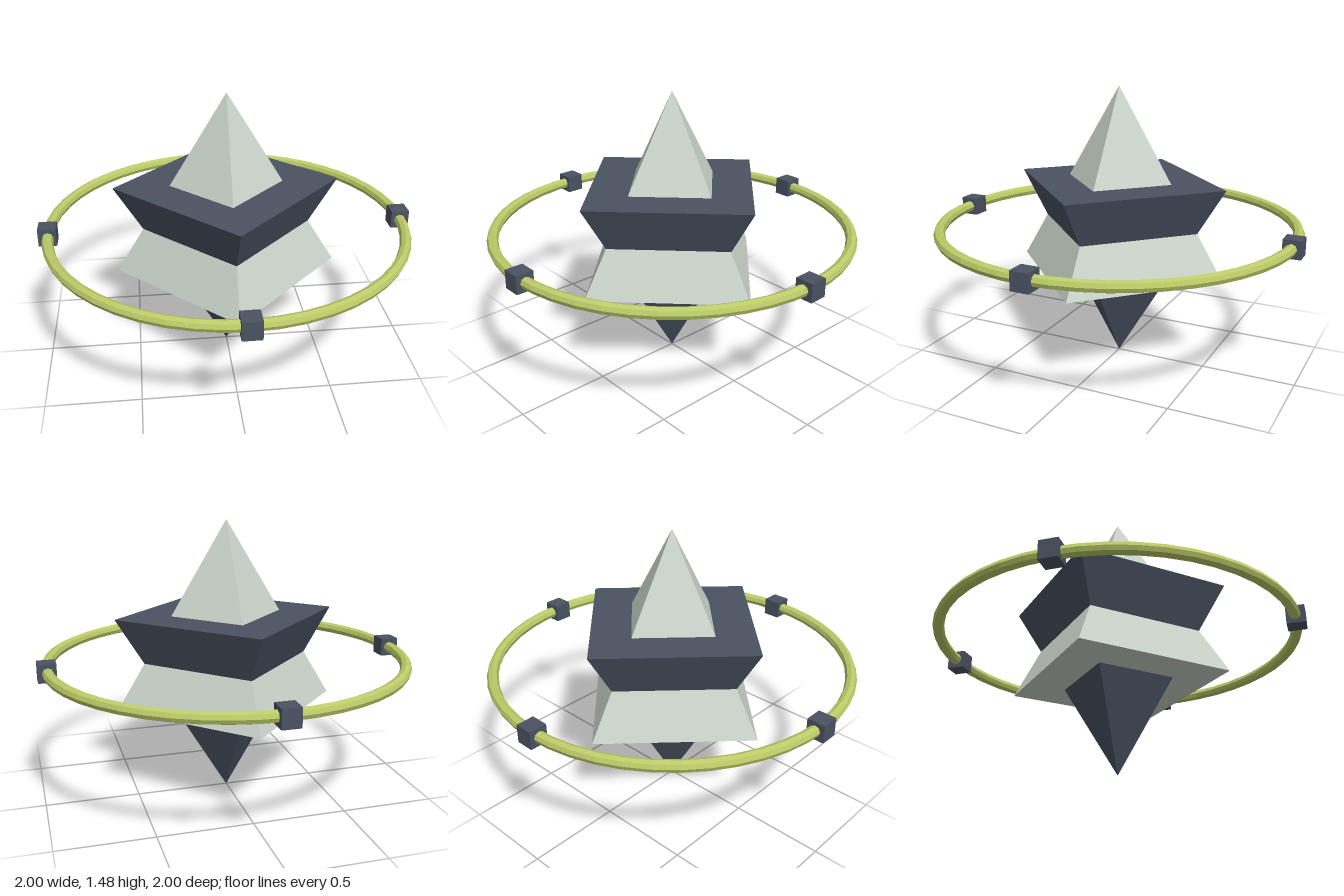
import * as THREE from 'three';

const MID = 0.742; // height of the ring and centre of both pyramids
const HEIGHT = 0.988;
const RADIUS = 0.597;
const RING = 0.952;

function material(name, color) {
  const m = new THREE.MeshStandardMaterial({ color, flatShading: true });
  m.name = name;
  return m;
}

export function createModel() {
  const model = new THREE.Group();
  model.name = 'interlockedPyramids';
  const pale = material('paleSage', 0xcbd5ca);
  const slate = material('darkSlate', 0x4a5362);
  const olive = material('oliveGold', 0xbccb68);

  function add(name, geometry, mat, x, y, z) {
    const mesh = new THREE.Mesh(geometry, mat);
    mesh.name = name;
    mesh.position.set(x, y, z);
    model.add(mesh);
    return mesh;
  }

  // Two four-sided pyramids pointing opposite ways, corners on the axes
  const pyramid = new THREE.ConeGeometry(RADIUS, HEIGHT, 4);
  add('upwardPyramid', pyramid, pale, 0, 2 * MID - HEIGHT / 2, 0);
  add('downwardPyramid', pyramid, slate, 0, HEIGHT / 2, 0).rotation.x = Math.PI;

  // Faceted horizontal ring
  const ring = new THREE.TorusGeometry(RING, 0.03, 8, 48).rotateX(Math.PI / 2);
  add('ring', ring, olive, 0, MID, 0);

  // Four cubes threaded on the ring
  const cube = new THREE.BoxGeometry(0.096, 0.096, 0.096);
  ['leftCube', 'frontCube', 'rightCube', 'backCube'].forEach((name, i) => {
    const a = i * Math.PI / 2;
    add(name, cube, slate, RING * Math.cos(a), MID, RING * Math.sin(a));
  });

  return model;
}
